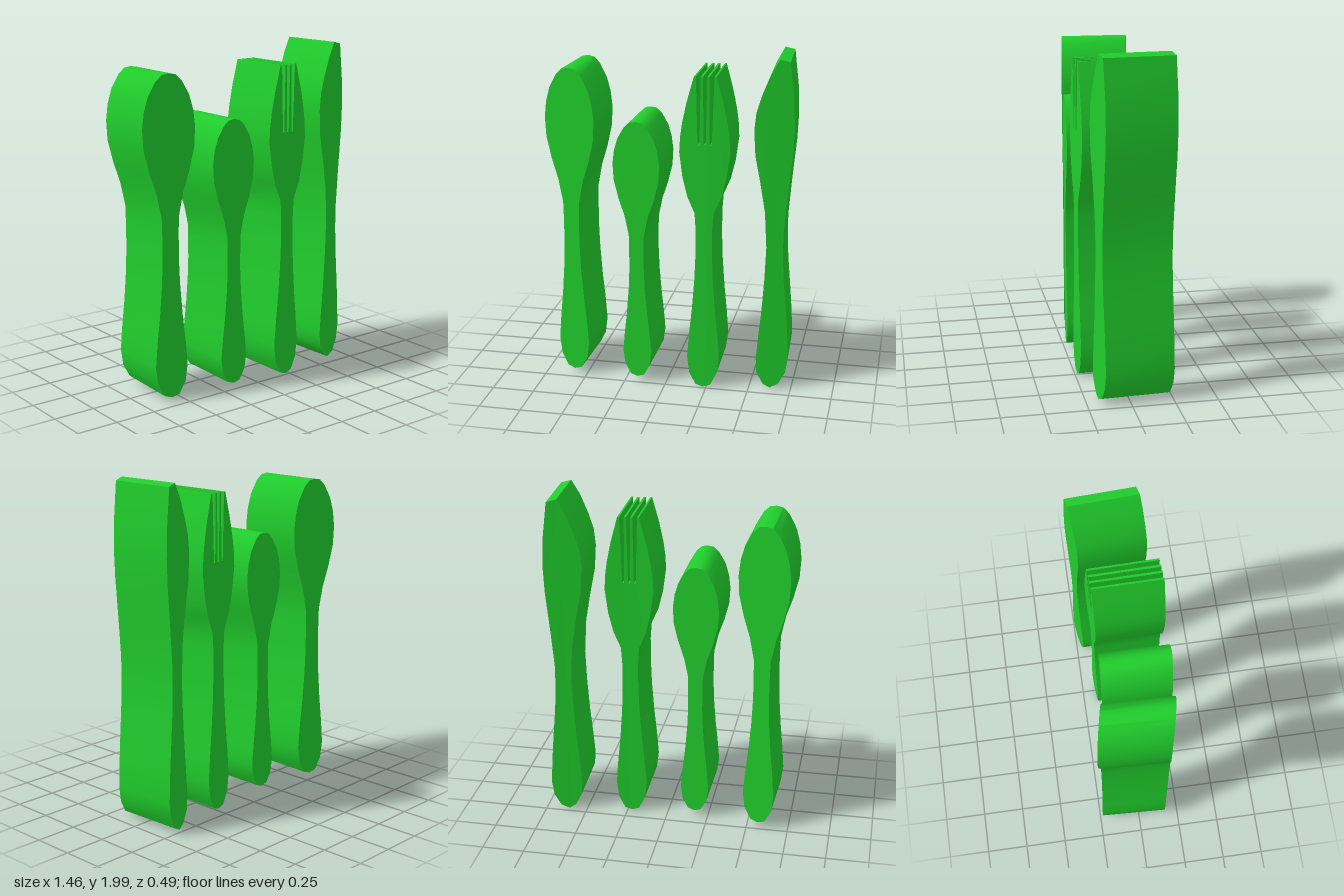
import * as THREE from 'three';
import { toCreasedNormals } from 'three/addons/utils/BufferGeometryUtils.js';

const green = new THREE.MeshStandardMaterial({ color: 0x20cc2c });

// Thick plate from an outline, swept back and bowed along a gentle arc
function plate(name, outline) {
  const shape = new THREE.Shape(outline.map(([x, y]) => new THREE.Vector2(x, y)));
  const geo = new THREE.ExtrudeGeometry(shape, { depth: 1, bevelEnabled: false });
  const p = geo.attributes.position;
  for (let i = 0; i < p.count; i++) {
    const x = p.getX(i), t = p.getZ(i); // t: 0 at the back, 1 at the front
    p.setX(i, x * (0.973 + 0.027 * t));
    p.setZ(i, -0.157 + 0.4 * t - 0.175 * x * x);
  }
  geo.computeVertexNormals();
  const mesh = new THREE.Mesh(toCreasedNormals(geo, 0.6), green);
  mesh.name = name;
  return mesh;
}

// Closed outline around a centre line: up the right half, across the top, down the left
function mirrored(cx, half, top = []) {
  return [
    ...half.map(([w, y]) => [cx + w, y]),
    ...top.map(([w, y]) => [cx + w, y]),
    ...half.filter(([w]) => w > 0).reverse().map(([w, y]) => [cx - w, y]),
  ];
}

// Half widths and heights of the shared handle and of the bowl
const handle = [[0, 0.03], [0.045, 0.045], [0.084, 0.12], [0.097, 0.22], [0.086, 0.36],
  [0.069, 0.52], [0.055, 0.7], [0.049, 0.85], [0.049, 1.0]];
const bowl = [[0.051, 1.1], [0.078, 1.235], [0.118, 1.36], [0.149, 1.49], [0.155, 1.605],
  [0.144, 1.7], [0.12, 1.785], [0.076, 1.865], [0.04, 1.9], [0, 1.907]];

export function createModel() {
  const group = new THREE.Group();
  group.name = 'cutlerySet';

  const spoon = [...handle, ...bowl];
  group.add(plate('largeSpoon', mirrored(-0.579, spoon)));
  group.add(plate('smallSpoon', mirrored(-0.172,
    spoon.map(([w, y]) => [w * 0.9, 0.04 + (y - 0.03) * 0.843]))));

  // Fork: shoulders, then three slots cut between four tapering tines
  const forkHalf = [
    ...handle.map(([w, y]) => [w * 0.98, y - 0.025 * (1 - y)]),
    [0.055, 1.1], [0.098, 1.2], [0.126, 1.315], [0.145, 1.46], [0.14, 1.55],
    [0.129, 1.63], [0.104, 1.75], [0.063, 1.9],
  ];
  const slot = (topR, botR, botL, topL) => [[topR, 1.9], [botR, 1.505], [botL, 1.505], [topL, 1.9]];
  const slots = [
    ...slot(0.052, 0.04, 0.029, 0.025),
    ...slot(0.012, 0.006, -0.006, -0.012),
    ...slot(-0.025, -0.029, -0.04, -0.052),
  ];
  group.add(plate('fork', mirrored(0.229, forkHalf, slots)));

  // Knife: straight spine on the right, curved cutting edge on the left
  const spine = [[0.625, 0.01], [0.675, 0.035], [0.715, 0.11], [0.728, 0.2], [0.72, 0.35],
    [0.708, 0.5], [0.69, 0.7], [0.682, 0.85], [0.682, 0.98], [0.7, 1.21], [0.722, 1.45],
    [0.728, 1.6], [0.721, 1.77], [0.695, 1.985]];
  const edge = [[0.637, 2], [0.59, 1.915], [0.545, 1.8], [0.515, 1.7], [0.505, 1.6],
    [0.514, 1.45], [0.545, 1.29], [0.575, 1.11], [0.587, 0.9], [0.58, 0.7], [0.567, 0.5],
    [0.553, 0.35], [0.541, 0.2], [0.546, 0.11], [0.585, 0.035]];
  group.add(plate('knife', [...spine, ...edge]));

  return group;
}
